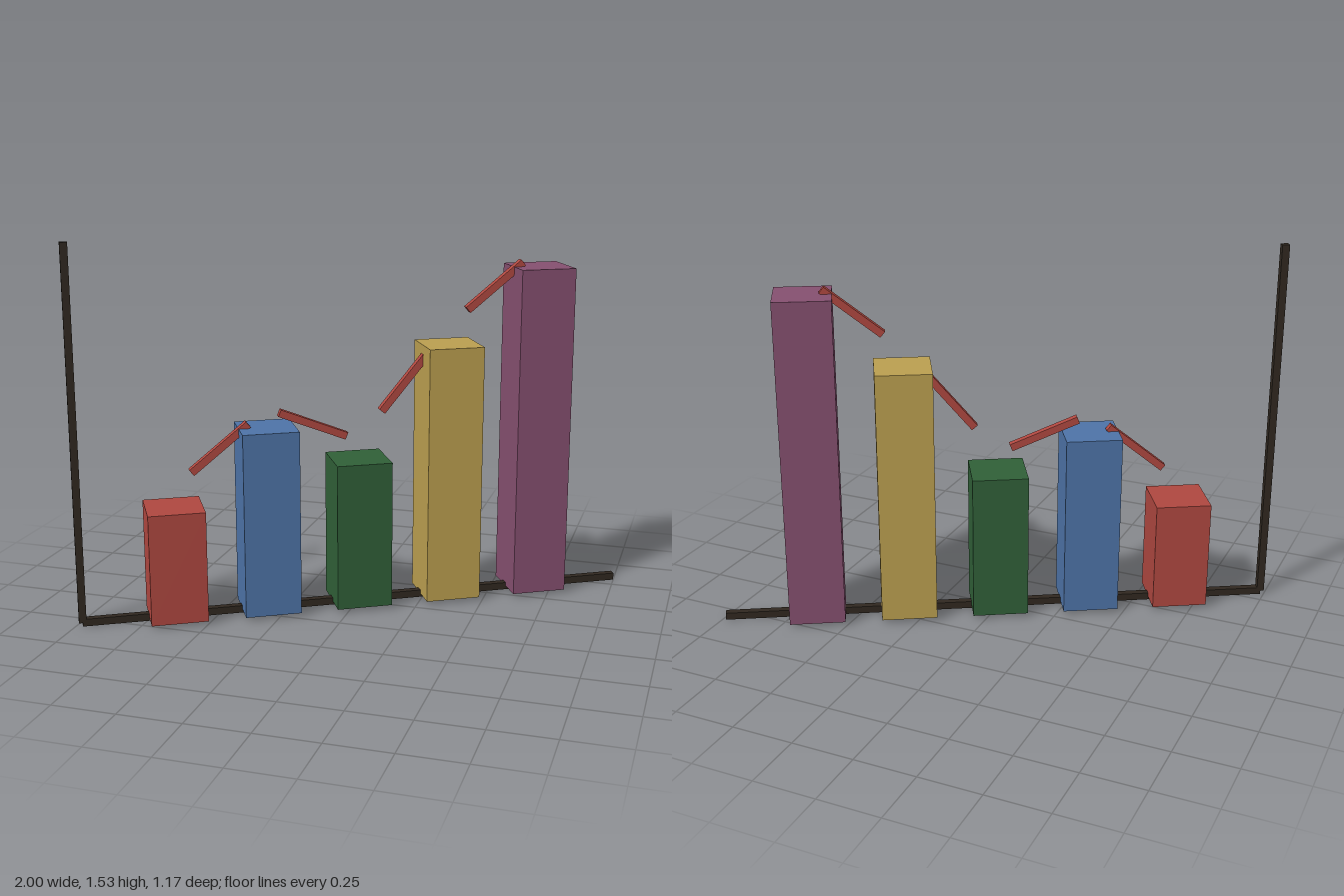
import * as THREE from 'three';

export function createModel() {
  const model = new THREE.Group();
  model.name = 'barChart';

  // The whole chart stands in one plane, turned 30 degrees about the vertical
  const chart = new THREE.Group();
  chart.name = 'chart';
  chart.rotation.y = Math.PI / 6;
  model.add(chart);

  const unit = 0.1523;   // height of one step on the value scale
  const pitch = 0.379;   // spacing between bars
  const origin = -1.131; // where the two axes meet
  const rod = 0.03;      // thickness of axes and trend strokes
  const base = rod / 2;

  const paint = (color) => new THREE.MeshStandardMaterial({ color, flatShading: true });
  const dark = paint(0x302820);
  const red = paint(0xb04840);

  function box(name, material, w, h, d, x, y) {
    const mesh = new THREE.Mesh(new THREE.BoxGeometry(w, h, d), material);
    mesh.name = name;
    mesh.position.set(x, y, 0);
    chart.add(mesh);
    return mesh;
  }

  // Axes
  const axisLength = 2.277, axisHeight = 1.52;
  box('horizontalAxis', dark, axisLength, rod, rod, origin + axisLength / 2, base);
  box('verticalAxis', dark, rod, axisHeight, rod, origin, base + axisHeight / 2);

  // Bars, standing on the centre line of the horizontal axis
  const values = [3, 5, 4, 7, 9];
  const fills = [red, paint(0x4e74a8), paint(0x306038), paint(0xbca050), paint(0x865070)];
  const barX = (i) => origin + pitch * (i + 1);
  values.forEach((v, i) => {
    box(`bar${i + 1}`, fills[i], 0.228, v * unit, 0.228, barX(i), base + v * unit / 2);
  });

  // Trend strokes, half a step above the midpoint of neighbouring bar tops
  for (let i = 0; i < values.length - 1; i++) {
    const rise = (values[i + 1] - values[i]) * unit;
    const y = base + ((values[i] + values[i + 1]) / 2 + 0.5) * unit;
    const stroke = box(`trendStroke${i + 1}`, red, 0.296, rod, rod, barX(i + 0.5), y);
    stroke.rotation.z = Math.atan2(rise, pitch);
  }

  return model;
}
